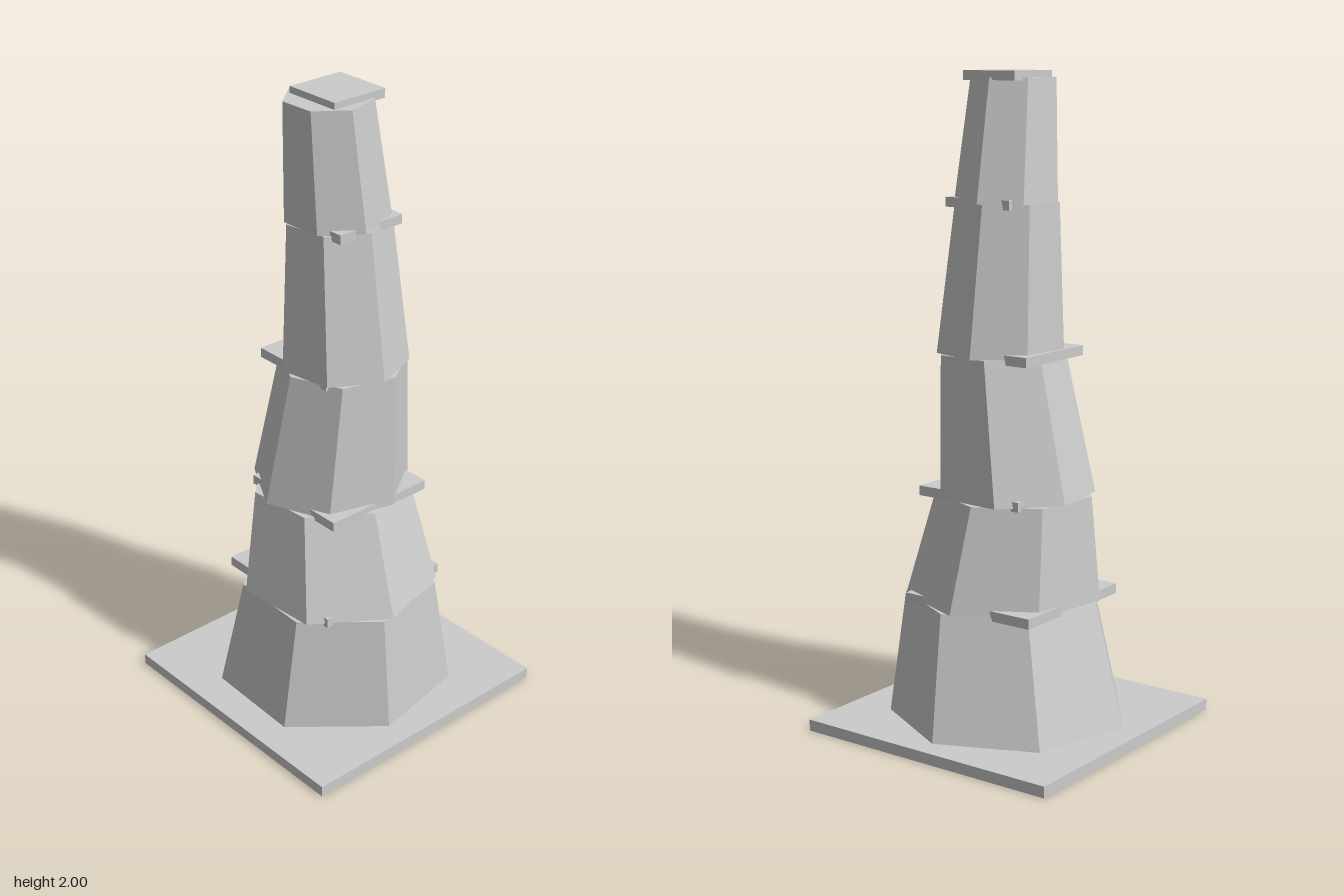
import * as THREE from 'three';

export function createModel() {
  const model = new THREE.Group();
  const stone = new THREE.MeshStandardMaterial({ color: 0xcccccc });
  stone.name = 'pale grey stone';
  stone.flatShading = true;

  const add = (geometry, name) => {
    const mesh = new THREE.Mesh(geometry, stone);
    mesh.name = name;
    model.add(mesh);
    return mesh;
  };

  // Rings where the tiers meet: height, radius and wandering centre
  const rings = [
    { y: 0.035, r: 0.376, x: 0, z: 0 },
    { y: 0.41, r: 0.307, x: -0.013, z: 0.033 },
    { y: 0.735, r: 0.245, x: -0.012, z: -0.006 },
    { y: 1.165, r: 0.196, x: 0, z: 0.038 },
    { y: 1.617, r: 0.159, x: -0.006, z: 0.017 },
    { y: 1.98, r: 0.131, x: -0.04, z: 0.016 },
  ];
  // Twist of each tier in degrees, from +x towards +z
  const twists = [2, -4.2, -22, -8.7, -2];

  // Seven-sided tapering tiers, sheared from one ring centre to the next
  twists.forEach((twist, i) => {
    const a = rings[i], b = rings[i + 1], h = b.y - a.y;
    const start = THREE.MathUtils.degToRad(90 - twist);
    const geometry = new THREE.CylinderGeometry(b.r, a.r, h, 7, 1, false, start).toNonIndexed();
    const p = geometry.attributes.position;
    for (let k = 0; k < p.count; k++) {
      const t = p.getY(k) / h + 0.5;
      p.setXYZ(k,
        p.getX(k) + THREE.MathUtils.lerp(a.x, b.x, t),
        a.y + t * h,
        p.getZ(k) + THREE.MathUtils.lerp(a.z, b.z, t));
    }
    geometry.computeVertexNormals();
    add(geometry, `tier${i + 1}`);
  });

  // Square slabs: size, bottom, top, centre x and z
  const slab = (name, size, y0, y1, x, z) =>
    add(new THREE.BoxGeometry(size, y1 - y0, size), name).position.set(x, (y0 + y1) / 2, z);

  slab('basePlate', 0.886, 0, 0.035, 0, 0);
  slab('ledge1', 0.464, 0.398, 0.429, 0, -0.003);
  slab('ledge2', 0.373, 0.725, 0.755, -0.013, 0.033);
  slab('ledge3', 0.295, 1.15, 1.18, -0.012, -0.006);
  slab('ledge4', 0.235, 1.602, 1.631, 0, 0.038);
  slab('topSlab', 0.187, 1.972, 2, -0.006, 0.017);

  return model;
}
